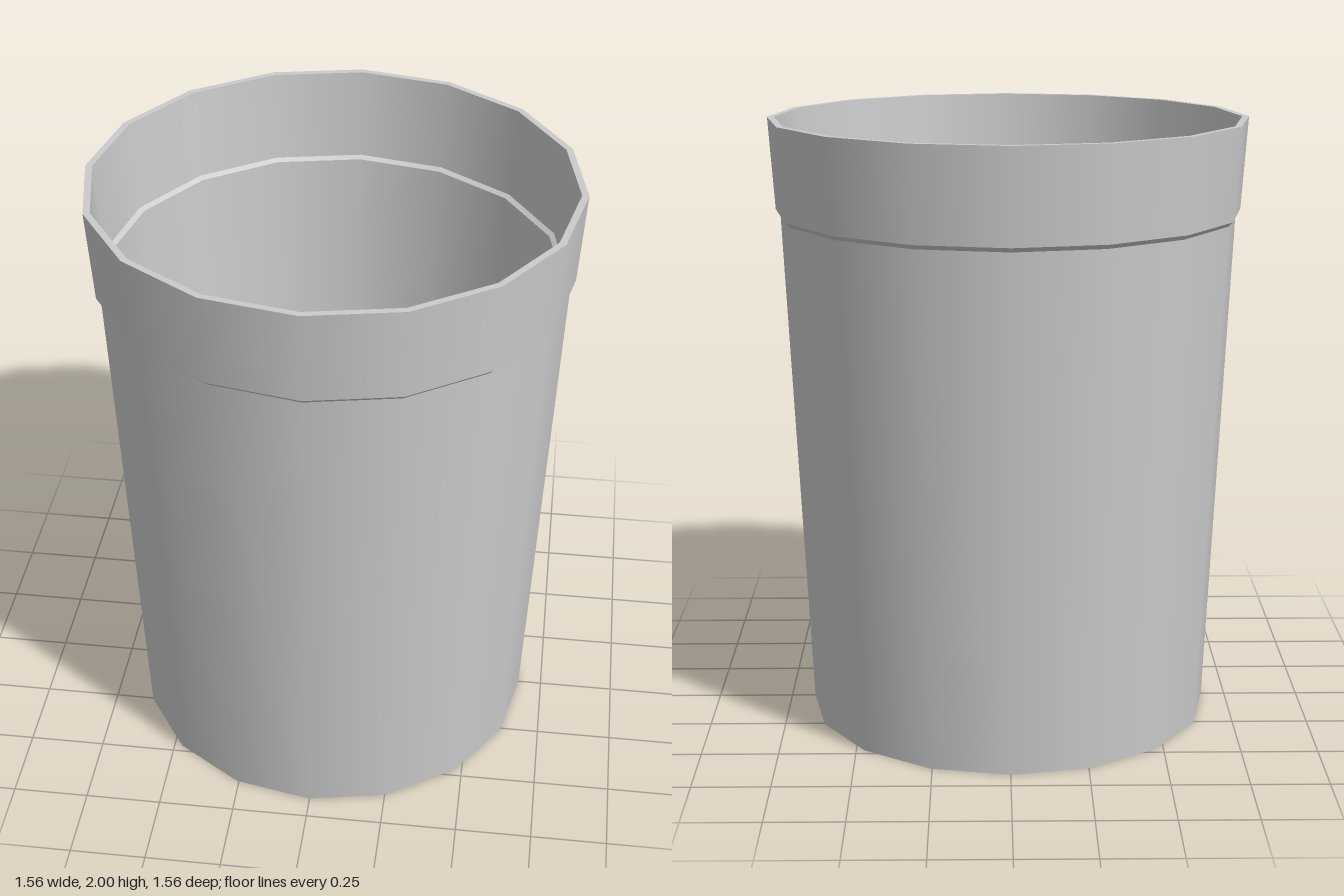
import * as THREE from 'three';

const SIDES = 16;

// Each profile segment is its own band: smooth around, sharp between bands.
function revolve(name, profile, material) {
  const part = new THREE.Group();
  part.name = name;
  for (let i = 0; i < profile.length - 1; i++) {
    const points = [profile[i], profile[i + 1]].map(([r, y]) => new THREE.Vector2(r, y));
    const band = new THREE.Mesh(new THREE.LatheGeometry(points, SIDES), material);
    band.name = `${name}Band${i + 1}`;
    part.add(band);
  }
  return part;
}

export function createModel() {
  const cup = new THREE.Group();
  cup.name = 'cup';
  const material = new THREE.MeshStandardMaterial({ color: 0xcccccc });

  // Recessed underside with its foot ring
  cup.add(revolve('base', [[0, 0.03], [0.625, 0.03], [0.625, 0], [0.67, 0]], material));
  // Tapered outer wall
  cup.add(revolve('outerWall', [[0.67, 0], [0.745, 1.685]], material));
  // Wider collar with its under-step, top edge and inner face
  cup.add(revolve('collar', [[0.745, 1.685], [0.76, 1.7], [0.78, 2], [0.758, 2], [0.737, 1.7]], material));
  // Inner ledge and tapered inner wall
  cup.add(revolve('innerWall', [[0.737, 1.7], [0.722, 1.69], [0.65, 0.05]], material));
  // Inside floor
  cup.add(revolve('floor', [[0.65, 0.05], [0, 0.05]], material));

  return cup;
}
